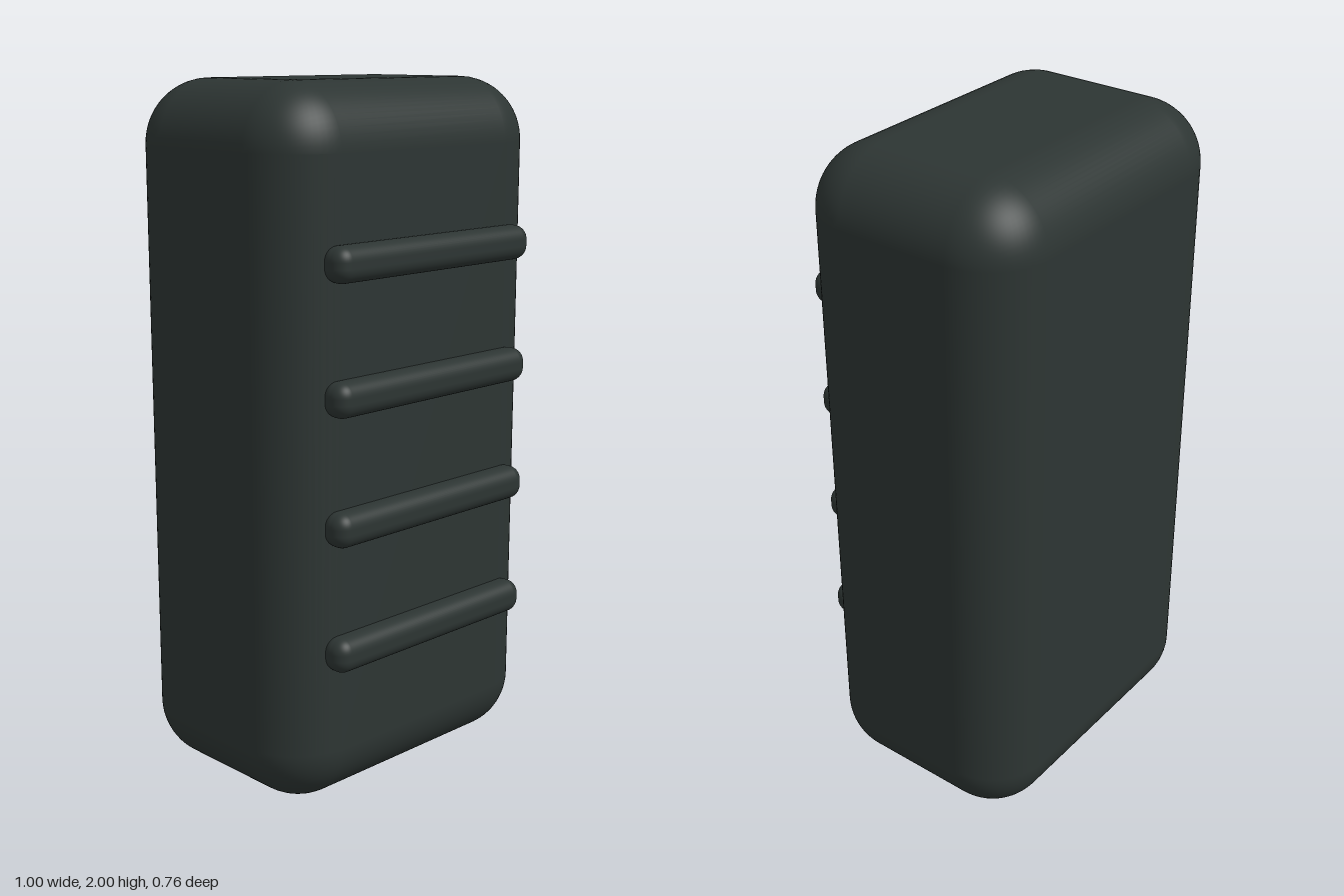
import * as THREE from 'three';
import { RoundedBoxGeometry } from 'three/addons/geometries/RoundedBoxGeometry.js';

export function createModel() {
  const model = new THREE.Group();
  model.name = 'ribbedBlock';

  const charcoal = new THREE.MeshStandardMaterial({ color: 0x2d3533 });
  charcoal.name = 'charcoal';

  const addRoundedBox = (name, size, radius, segments, position) => {
    const mesh = new THREE.Mesh(new RoundedBoxGeometry(...size, segments, radius), charcoal);
    mesh.name = name;
    mesh.position.set(...position);
    model.add(mesh);
  };

  // Main body with generous rounded edges
  addRoundedBox('body', [1, 2, 0.7], 0.18, 8, [0, 1, -0.03]);

  // Four evenly spaced ribs across the front
  for (let i = 0; i < 4; i++) {
    addRoundedBox(`rib${i + 1}`, [0.756, 0.098, 0.09], 0.04, 6, [0, 0.473 + i * 0.3555, 0.335]);
  }

  return model;
}
